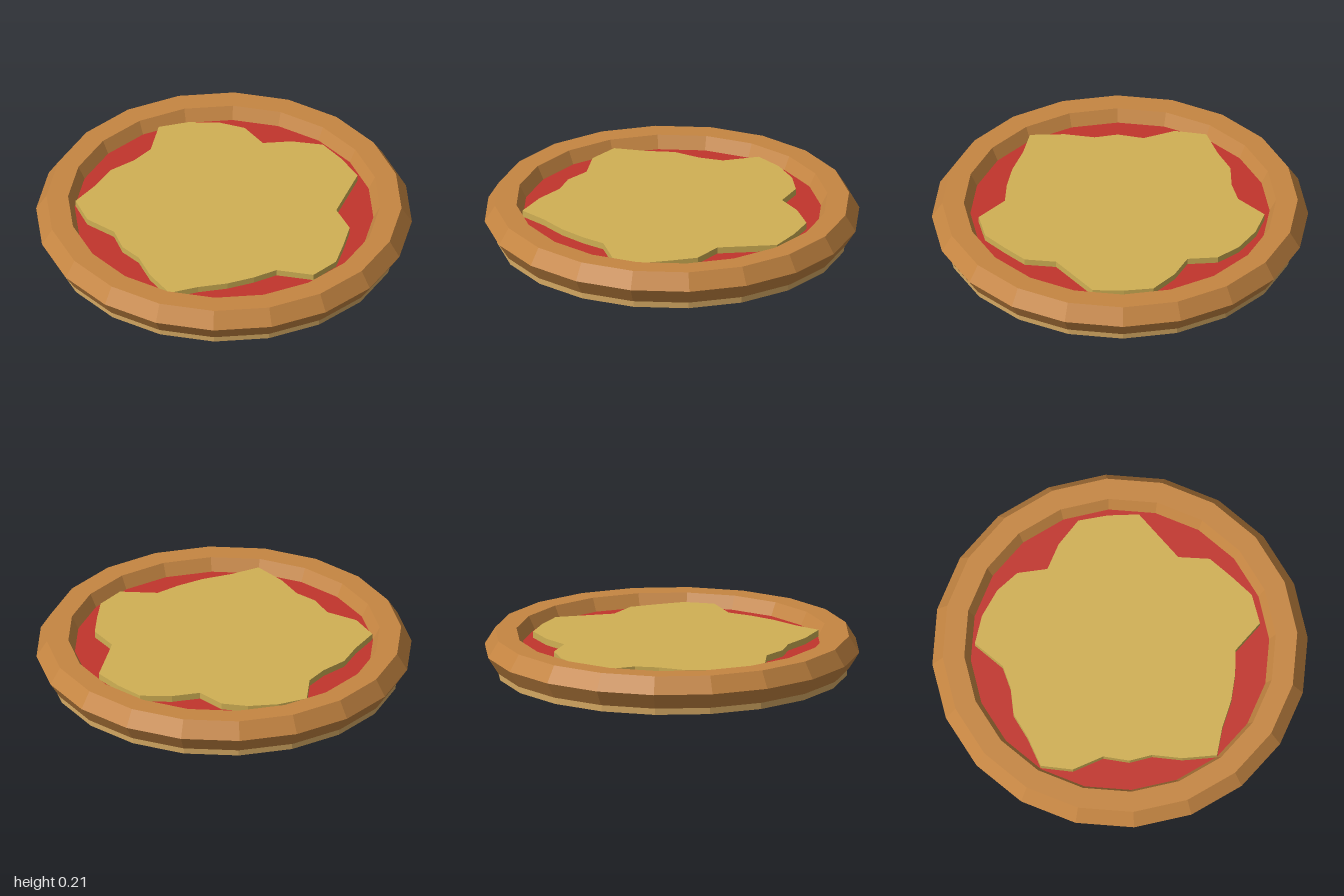
import * as THREE from 'three';

const SIDES = 20;

function flat(name, color) {
  return new THREE.MeshStandardMaterial({ name, color, flatShading: true });
}

export function createModel() {
  const group = new THREE.Group();
  group.name = 'pizza';

  const add = (name, geometry, material, y = 0) => {
    const mesh = new THREE.Mesh(geometry, material);
    mesh.name = name;
    mesh.position.y = y;
    group.add(mesh);
  };

  // Dough disc under everything
  add('doughBase', new THREE.CylinderGeometry(0.935, 0.935, 0.06, SIDES), flat('dough', 0xd4a862), 0.03);

  // Baked rim: a six-sided ring
  const rim = [
    [0.835, 0.037], [0.945, 0.037], [1.0, 0.125],
    [0.945, 0.214], [0.83, 0.214], [0.785, 0.125], [0.835, 0.037],
  ].map(([r, y]) => new THREE.Vector2(r, y));
  add('crust', new THREE.LatheGeometry(rim, SIDES), flat('baked crust', 0xc68642));

  // Sauce layer, tucked into the rim
  add('sauce', new THREE.CylinderGeometry(0.84, 0.84, 0.085, SIDES), flat('tomato red', 0xc1352c), 0.1025);

  // Melted cheese with an irregular outline, given as x, z
  const outline = [
    [-0.16, -0.755], [0, -0.755], [0.16, -0.71], [0.28, -0.63], [0.34, -0.48],
    [0.49, -0.455], [0.645, -0.385], [0.71, -0.24], [0.755, -0.08], [0.655, 0.06],
    [0.57, 0.18], [0.6, 0.345], [0.53, 0.48], [0.455, 0.61], [0.31, 0.69],
    [0.13, 0.6], [0, 0.63], [-0.15, 0.645], [-0.31, 0.635], [-0.47, 0.645],
    [-0.53, 0.47], [-0.55, 0.31], [-0.61, 0.2], [-0.62, 0.06], [-0.73, -0.08],
    [-0.75, -0.25], [-0.61, -0.355], [-0.5, -0.46], [-0.36, -0.51], [-0.25, -0.58],
  ].map(([x, z]) => new THREE.Vector2(x, z));
  const cheese = new THREE.ExtrudeGeometry(new THREE.Shape(outline), { depth: 0.04, bevelEnabled: false });
  cheese.rotateX(Math.PI / 2);
  add('cheese', cheese, flat('cheese yellow', 0xd0b054), 0.18);

  return group;
}
